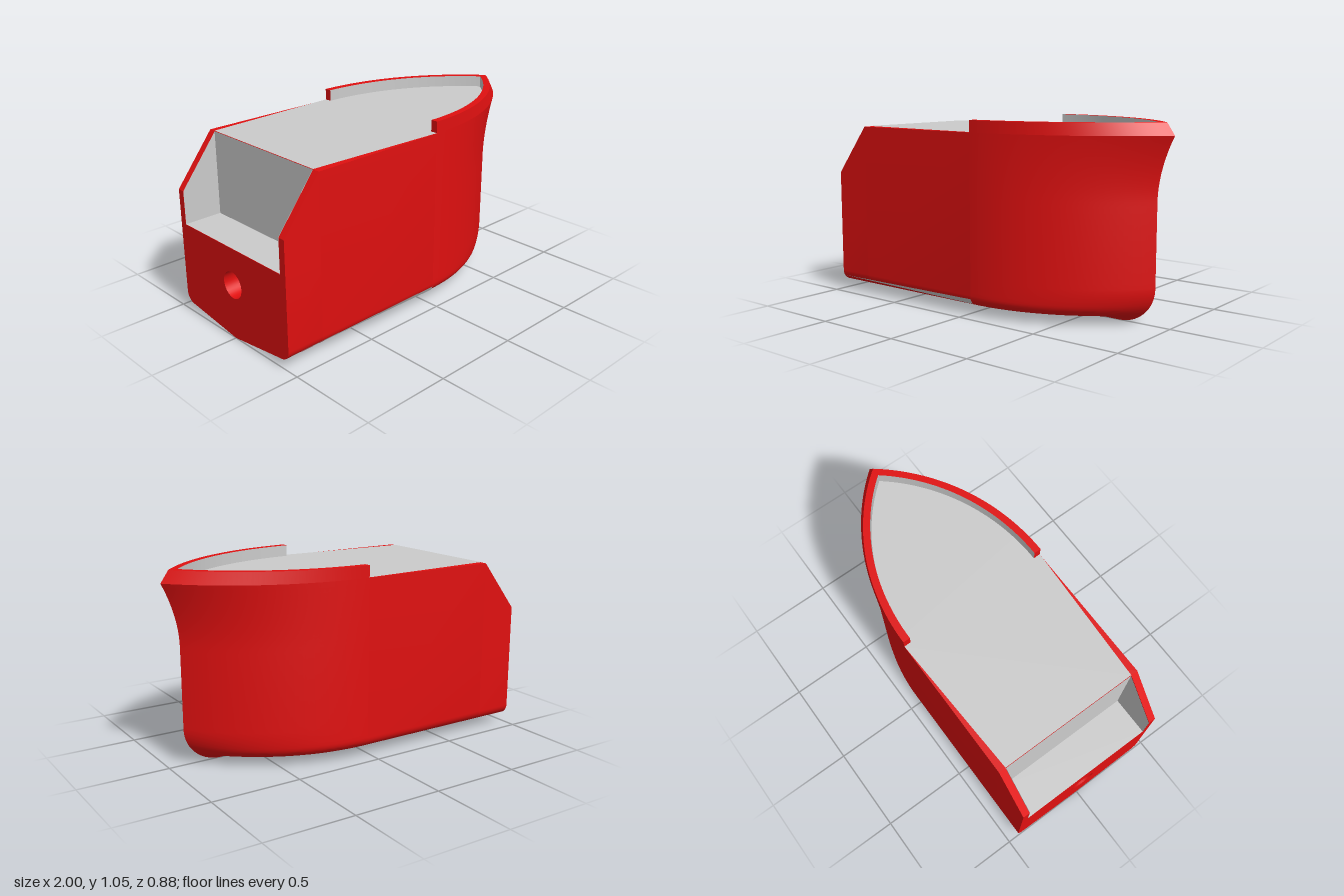
import * as THREE from 'three';
import { toCreasedNormals } from 'three/addons/utils/BufferGeometryUtils.js';

const red = new THREE.MeshStandardMaterial({ color: 0xe01010 });
const grey = new THREE.MeshStandardMaterial({ color: 0xcccccc, side: THREE.DoubleSide });

const STERN = -1, BULKHEAD = -0.78, MID = 0.03;   // stations along x
const DECK = 0.99, RAIL = 1.055, FLOOR = 0.52;    // heights
const HALF = 0.44, INNER = 0.4;                   // half widths

// Half of the hull section, keel to chine, as [half width, y]
const section = [];
for (let i = 0; i < 8; i++) {
  const f = (i / 8) ** 2;
  section.push([0.388 * f, 0.0506 * f]);
}
for (let i = 0; i <= 8; i++) {
  const a = THREE.MathUtils.degToRad(-82 + (82 * i) / 8);
  section.push([0.38 + 0.06 * Math.cos(a), 0.11 + 0.06 * Math.sin(a)]);
}

// Stem profile: rounded forefoot, upright, then flaring to the deck
function stemX(y) {
  if (y < 0.2) return 0.7 + 0.21 * Math.sqrt(1 - (1 - y / 0.2) ** 2);
  if (y < 0.65) return 0.91;
  return 0.91 + 0.09 * ((y - 0.65) / 0.34) ** 1.9;
}

// Plan of one bow side: x = fraction of bow length, y = fraction of half width
const plan = new THREE.CubicBezierCurve(
  new THREE.Vector2(0, 1), new THREE.Vector2(0.41, 1),
  new THREE.Vector2(0.77, 0.61), new THREE.Vector2(1, 0)
).getPoints(40);

// Skin one bow side through rows of [half width, y, stem x]
function bowSkin(rows, side) {
  const pos = [], idx = [], n = plan.length;
  for (const [w, y, tip] of rows)
    for (const p of plan) pos.push(MID + p.x * (tip - MID), y, side * w * p.y);
  for (let r = 0; r < rows.length - 1; r++)
    for (let i = 0; i < n - 1; i++) {
      const a = r * n + i, b = a + 1, c = a + n, d = c + 1;
      if (side > 0) idx.push(a, b, d, a, d, c);
      else idx.push(a, d, b, a, c, d);
    }
  const g = new THREE.BufferGeometry();
  g.setAttribute('position', new THREE.Float32BufferAttribute(pos, 3));
  g.setIndex(idx);
  return toCreasedNormals(g, 0.5);
}

// Solid hull block with the midship section between two stations
function hullBlock(x0, x1, top, hole) {
  const pts = section.map(([w, y]) => new THREE.Vector2(w, y));
  pts.push(new THREE.Vector2(HALF, top), new THREE.Vector2(-HALF, top));
  for (let i = section.length - 1; i > 0; i--) pts.push(new THREE.Vector2(-section[i][0], section[i][1]));
  const shape = new THREE.Shape(pts);
  if (hole) shape.holes.push(new THREE.Path().absarc(0, 0.31, 0.075, 0, Math.PI * 2, true));
  const g = new THREE.ExtrudeGeometry(shape, { depth: x1 - x0, bevelEnabled: false, curveSegments: 16 });
  return toCreasedNormals(g.rotateY(Math.PI / 2).translate(x0, 0, 0), 0.5);
}

export function createModel() {
  const group = new THREE.Group();
  const add = (name, geometry, material) => {
    const mesh = new THREE.Mesh(geometry, material);
    mesh.name = name;
    group.add(mesh);
    return mesh;
  };
  const shapeOf = (pts) => new THREE.Shape(pts.map(([x, y]) => new THREE.Vector2(x, y)));

  // Stern, with the round shaft hole, and the midship body
  add('sternHull', hullBlock(STERN, BULKHEAD, FLOOR, true), red);
  add('midHull', hullBlock(BULKHEAD, MID, DECK, false), red);

  // Bow sides and raised bulwark
  const rows = section.map(([w, y]) => [w, y, stemX(y)]);
  for (let y = 0.13; y < 0.2; y += 0.02) rows.push([HALF, y, stemX(y)]);
  for (let i = 0; i <= 28; i++) {
    const y = 0.2 + ((DECK - 0.2) * i) / 28;
    rows.push([HALF, y, stemX(y)]);
  }
  const cheek = shapeOf([[STERN, FLOOR], [BULKHEAD, FLOOR], [BULKHEAD, DECK], [STERN, 0.71]]);
  for (const side of [1, -1]) {
    const label = side > 0 ? 'front' : 'back';
    add(label + 'BowSide', bowSkin(rows, side), red);
    add(label + 'Bulwark', bowSkin([[HALF, DECK, 1], [HALF, RAIL, 0.955], [INNER, RAIL, 0.905]], side), red);
    add(label + 'BulwarkLining', bowSkin([[INNER, RAIL, 0.905], [INNER, DECK, 0.905]], side), grey);

    // Square end of the bulwark
    const end = new THREE.PlaneGeometry(HALF - INNER, RAIL - DECK).rotateY(-Math.PI / 2);
    add(label + 'BulwarkEnd', end, red).position.set(MID, (RAIL + DECK) / 2, side * (HALF + INNER) / 2);

    // Sloping cheek beside the stern well, lined inside
    const plate = new THREE.ExtrudeGeometry(cheek, { depth: HALF - INNER, bevelEnabled: false });
    add(label + 'SternCheek', plate, red).position.z = side > 0 ? INNER : -HALF;
    add(label + 'CheekLining', new THREE.ShapeGeometry(cheek), grey).position.z = side * (INNER - 0.002);
  }

  // Stern well floor and bulkhead
  const wellLength = BULKHEAD - STERN;
  add('wellFloor', new THREE.PlaneGeometry(wellLength, 2 * INNER).rotateX(-Math.PI / 2), grey)
    .position.set((STERN + BULKHEAD) / 2, FLOOR + 0.002, 0);
  add('wellBulkhead', new THREE.PlaneGeometry(2 * INNER, DECK - FLOOR).rotateY(-Math.PI / 2), grey)
    .position.set(BULKHEAD - 0.002, (DECK + FLOOR) / 2, 0);

  // Deck, widening from the well to midships and closing at the bow
  const edge = [[BULKHEAD, INNER], [MID, HALF]];
  for (const p of plan) edge.push([MID + p.x * (0.905 - MID), p.y * INNER]);
  const mirrored = edge.slice(0, -1).reverse().map(([x, z]) => [x, -z]);
  add('deck', new THREE.ShapeGeometry(shapeOf([...edge, ...mirrored])).rotateX(-Math.PI / 2), grey)
    .position.y = DECK + 0.002;

  // Thin grey sliver along the front chine
  const sliver = new THREE.BufferGeometry();
  sliver.setAttribute('position', new THREE.Float32BufferAttribute(
    [STERN, 0.08, 0.436, MID, 0.063, 0.424, MID, 0.092, 0.441], 3));
  sliver.computeVertexNormals();
  add('chineStrip', sliver, grey);

  return group;
}
